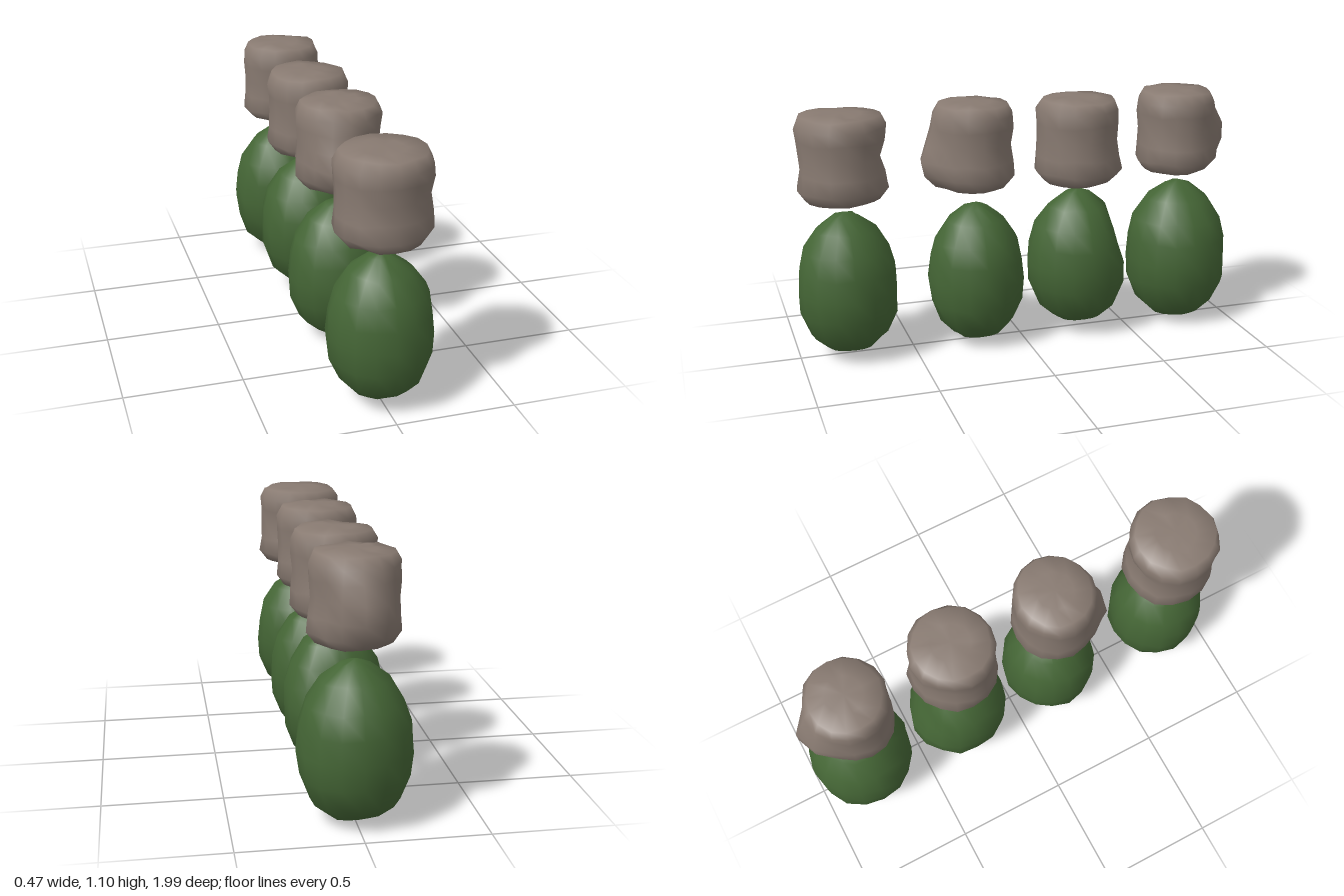
import * as THREE from 'three';

const SIDES = 16;

// Shared outlines from bottom to top: [height fraction, radius fraction]
const EGG = [[0, 0.14], [0.05, 0.5], [0.14, 0.79], [0.3, 0.97], [0.45, 1],
  [0.6, 0.97], [0.74, 0.86], [0.88, 0.6], [0.97, 0.25]];
const DRUM = [[0.02, 0.45], [0, 0.82], [0.12, 1], [0.3, 0.97], [0.5, 0.94],
  [0.7, 0.97], [0.85, 0.98], [0.97, 0.86], [0.99, 0.45]];

function makeRandom(seed) {
  let s = seed;
  return () => ((s = (s * 16807) % 2147483647) / 2147483647);
}

// Irregular rounded solid made of wobbly rings.
// Each bump pushes the wall out or in; angle 0 faces +z and grows towards +x.
function lump(profile, { z, radius, bottom, top, widen = 1, bumps = [] }, seed) {
  const random = makeRandom(seed);
  const pos = [], index = [];
  const height = top - bottom;
  for (const [t, f] of profile) {
    const y = bottom + t * height;
    for (let j = 0; j < SIDES; j++) {
      const a = (j / SIDES) * Math.PI * 2;
      let r = radius * f * (1.01 - 0.045 * random());
      for (const { angle, at, push, spread, rise } of bumps) {
        const turn = a - angle;
        const da = Math.atan2(Math.sin(turn), Math.cos(turn)) / spread;
        const dy = (y - at) / rise;
        r += push * Math.exp(-da * da - dy * dy);
      }
      pos.push(Math.sin(a) * r * widen, y + (random() - 0.5) * 0.012, z + Math.cos(a) * r);
    }
  }
  const last = (profile.length - 1) * SIDES;
  for (let i = 0; i < last; i += SIDES) {
    for (let j = 0; j < SIDES; j++) {
      const a = i + j, b = i + (j + 1) % SIDES;
      index.push(a, b, a + SIDES, b, b + SIDES, a + SIDES);
    }
  }
  // Closing fans at both ends
  const low = last + SIDES, high = low + 1;
  pos.push(0, bottom + profile[0][0] * height - 0.004, z);
  pos.push(0, top, z);
  for (let j = 0; j < SIDES; j++) {
    const k = (j + 1) % SIDES;
    index.push(low, k, j, high, last + j, last + k);
  }
  const g = new THREE.BufferGeometry();
  g.setAttribute('position', new THREE.Float32BufferAttribute(pos, 3));
  g.setIndex(index);
  g.computeVertexNormals();
  return g;
}

// Lower green egg-shaped pieces, front to back
const eggs = [
  { z: 0.78, radius: 0.219, bottom: 0.02, top: 0.65 },
  { z: 0.205, radius: 0.216, bottom: 0.01, top: 0.64, widen: 1.02 },
  { z: -0.275, radius: 0.23, bottom: 0.035, top: 0.665, widen: 0.97,
    bumps: [{ angle: Math.PI, at: 0.46, push: -0.06, spread: 0.8, rise: 0.11 }] },
  { z: -0.765, radius: 0.234, bottom: 0.003, top: 0.665 },
];

// Upper brown drum-shaped pieces, front to back
const drums = [
  { z: 0.785, radius: 0.2, bottom: 0.715, top: 1.08, bumps: [
    { angle: Math.PI, at: 0.89, push: -0.03, spread: 0.6, rise: 0.06 },
    { angle: 0, at: 0.84, push: -0.015, spread: 0.5, rise: 0.08 }] },
  { z: 0.21, radius: 0.178, bottom: 0.725, top: 1.095, widen: 1.06, bumps: [
    { angle: -0.2, at: 0.84, push: 0.075, spread: 0.5, rise: 0.12 }] },
  { z: -0.267, radius: 0.19, bottom: 0.71, top: 1.085, bumps: [
    { angle: -2.2, at: 0.9, push: -0.025, spread: 0.3, rise: 0.12 },
    { angle: 2.7, at: 0.77, push: 0.015, spread: 0.4, rise: 0.06 }] },
  { z: -0.74, radius: 0.177, bottom: 0.73, top: 1.095, widen: 1.06, bumps: [
    { angle: Math.PI + 0.1, at: 0.88, push: 0.085, spread: 0.5, rise: 0.11 }] },
];

export function createModel() {
  const model = new THREE.Group();
  model.name = 'lumpRows';
  const green = new THREE.MeshStandardMaterial({ color: 0x446535 });
  green.name = 'darkGreen';
  const brown = new THREE.MeshStandardMaterial({ color: 0x887a71 });
  brown.name = 'greyBrown';

  const addRow = (list, profile, material, name, seed) => list.forEach((piece, i) => {
    const mesh = new THREE.Mesh(lump(profile, piece, seed + i * 977), material);
    mesh.name = name + (i + 1);
    model.add(mesh);
  });
  addRow(eggs, EGG, green, 'greenEgg', 4211);
  addRow(drums, DRUM, brown, 'brownDrum', 90533);
  return model;
}
